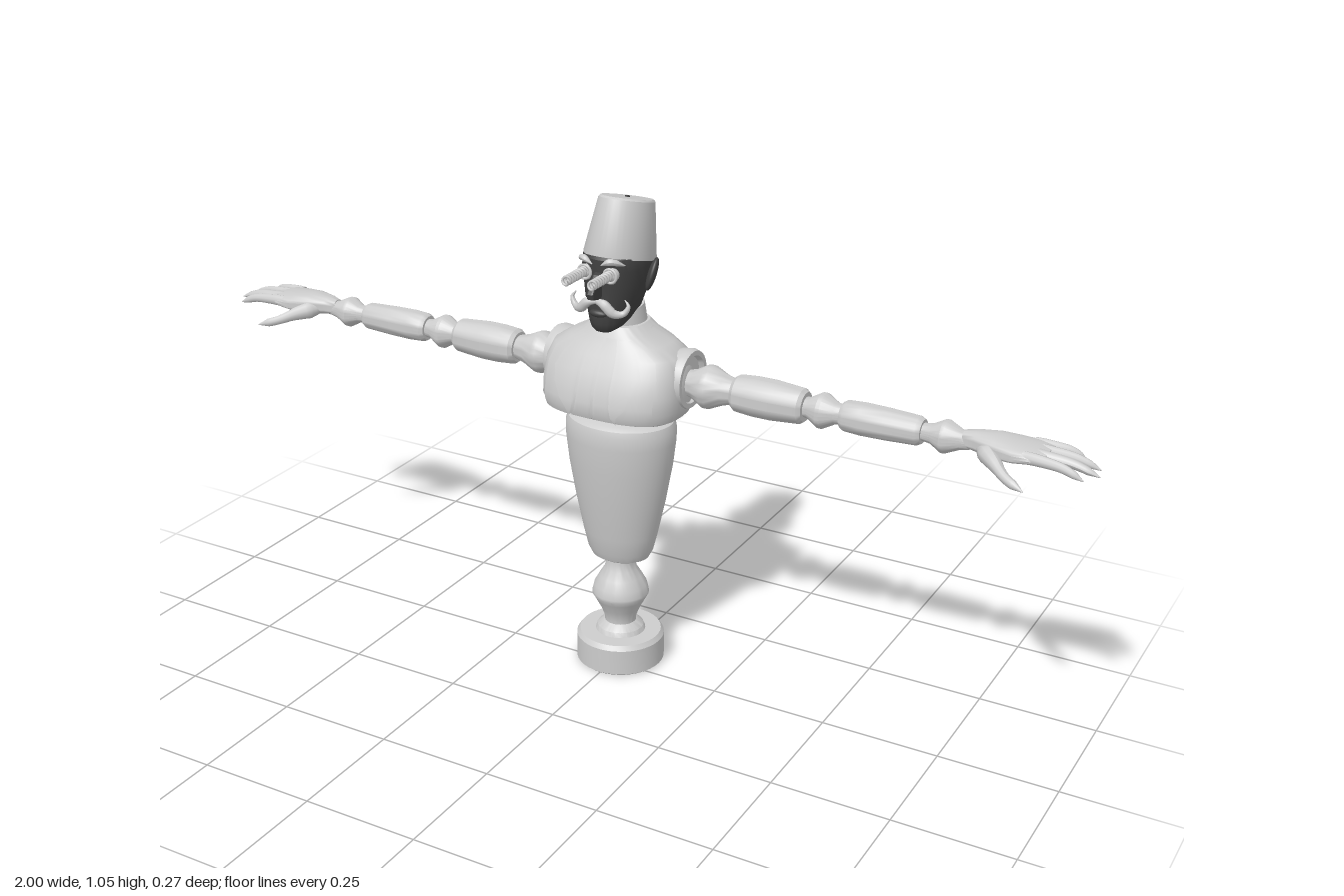
import * as THREE from 'three';
import { toCreasedNormals } from 'three/addons/utils/BufferGeometryUtils.js';

const V = (x, y, z) => new THREE.Vector3(x, y, z);
const P = 2.7; // squareness of the torso cross-section
const AXIS_Z = -0.037;

// Turned shape from [radius, height] pairs
function turned(profile, seg = 40, crease = 0.55) {
  const pts = profile.map(([r, y]) => new THREE.Vector2(r, y));
  return toCreasedNormals(new THREE.LatheGeometry(pts, seg), crease);
}

// Closed body through rows of [y, halfWidth, zFront, zBack]
function loft(rows, power = 2, seg = 40, crease = 0.7) {
  const all = [rows[0], ...rows, rows[rows.length - 1]];
  const geo = new THREE.LatheGeometry(all.map((r) => new THREE.Vector2(1, r[0])), seg);
  const pos = geo.attributes.position;
  const bend = (v) => Math.sign(v) * Math.abs(v) ** (2 / power);
  for (let k = 0; k < pos.count; k++) {
    const j = k % all.length;
    const a = (Math.floor(k / all.length) % seg) / seg * Math.PI * 2;
    const [y, w, f, b] = all[j];
    const s = j === 0 || j === all.length - 1 ? 0 : 1;
    pos.setXYZ(k, s * w * bend(Math.sin(a)), y, (f + b) / 2 + s * (f - b) / 2 * bend(Math.cos(a)));
  }
  return toCreasedNormals(geo, crease);
}

// Tube whose radius follows a list of values along its path
function taperTube(points, radii, seg = 20, sides = 10) {
  const curve = new THREE.CatmullRomCurve3(points);
  const geo = new THREE.TubeGeometry(curve, seg, 1, sides);
  const pos = geo.attributes.position;
  const v = V(0, 0, 0);
  for (let k = 0; k < pos.count; k++) {
    const t = Math.floor(k / (sides + 1)) / seg;
    const u = t * (radii.length - 1);
    const i = Math.min(Math.floor(u), radii.length - 2);
    const r = THREE.MathUtils.lerp(radii[i], radii[i + 1], u - i);
    const c = curve.getPointAt(t);
    v.fromBufferAttribute(pos, k).sub(c).multiplyScalar(r).add(c);
    pos.setXYZ(k, v.x, v.y, v.z);
  }
  geo.computeVertexNormals();
  return geo;
}

const torsoRows = [
  [0.595, 0.135, 0.06, -0.118], [0.605, 0.15, 0.078, -0.125], [0.625, 0.156, 0.085, -0.127],
  [0.66, 0.156, 0.08, -0.126], [0.7, 0.154, 0.063, -0.122], [0.73, 0.142, 0.046, -0.118],
  [0.75, 0.11, 0.034, -0.112], [0.768, 0.075, 0.025, -0.1], [0.785, 0.055, 0.015, -0.092],
];

// Front z of the torso at (x, y)
function torsoFront(x, y) {
  let i = 0;
  while (i < torsoRows.length - 2 && torsoRows[i + 1][0] < y) i++;
  const a = torsoRows[i], b = torsoRows[i + 1];
  const t = (y - a[0]) / (b[0] - a[0]);
  const [w, f, k] = [1, 2, 3].map((n) => THREE.MathUtils.lerp(a[n], b[n], t));
  return (f + k) / 2 + (f - k) / 2 * Math.max(0, 1 - Math.abs(x / w) ** P) ** (1 / P);
}

// Cloth panel lying on the torso front, rows of [y, xInner, xOuter]
function panel(rows, offset, side) {
  const n = 6;
  const geo = new THREE.PlaneGeometry(1, 1, n, rows.length - 1);
  const pos = geo.attributes.position;
  for (let k = 0; k < pos.count; k++) {
    const [y, x0, x1] = rows[Math.floor(k / (n + 1))];
    const u = (k % (n + 1)) / n;
    const x = side > 0 ? THREE.MathUtils.lerp(x0, x1, u) : -THREE.MathUtils.lerp(x1, x0, u);
    pos.setXYZ(k, x, y, torsoFront(x, y) + offset);
  }
  geo.computeVertexNormals();
  return geo;
}

export function createModel() {
  const model = new THREE.Group();
  const pale = new THREE.MeshStandardMaterial({ color: 0xcccccc, side: THREE.DoubleSide });
  pale.name = 'pale grey';
  const dark = new THREE.MeshStandardMaterial({ color: 0x404040 });
  dark.name = 'dark grey';
  const add = (name, geo, mat = pale, parent = model) => {
    const mesh = new THREE.Mesh(geo, mat);
    mesh.name = name;
    parent.add(mesh);
    return mesh;
  };

  // Hollow base and turned pedestal
  add('base', turned([[0, 0.03], [0.055, 0.03], [0.062, 0], [0.09, 0], [0.095, 0.004], [0.095, 0.06],
    [0.088, 0.07], [0.054, 0.07], [0.05, 0.08], [0.034, 0.092], [0, 0.092]])).position.z = AXIS_Z;
  add('pedestal', turned([[0.034, 0.088], [0.034, 0.1], [0.042, 0.122], [0.054, 0.145], [0.061, 0.158],
    [0.061, 0.163], [0.057, 0.18], [0.046, 0.2], [0.035, 0.218], [0.03, 0.235], [0.03, 0.25]])).position.z = AXIS_Z;

  // Oval barrel body and waist
  const barrel = add('barrel', turned([[0, 0.244], [0.05, 0.246], [0.064, 0.253], [0.073, 0.27], [0.083, 0.31],
    [0.1, 0.39], [0.114, 0.47], [0.121, 0.53], [0.121, 0.558], [0.116, 0.572], [0.104, 0.579], [0, 0.58]], 48));
  barrel.scale.z = 0.8;
  barrel.position.z = AXIS_Z;
  add('waist', new THREE.CylinderGeometry(0.027, 0.027, 0.05, 32)).position.set(0, 0.59, AXIS_Z);

  // Torso, collar and neck
  add('torso', loft(torsoRows, P, 48));
  add('collar', loft([[0.725, 0.095, 0.022, -0.116], [0.733, 0.1, 0.026, -0.12], [0.755, 0.084, 0.022, -0.112],
    [0.776, 0.066, 0.016, -0.103], [0.78, 0.06, 0.01, -0.098]]));
  const neck = add('neck', new THREE.CylinderGeometry(0.047, 0.055, 0.085, 32));
  neck.position.set(0, 0.778, -0.043);
  neck.rotation.x = 0.12;

  // Waistcoat front, jacket fronts and lapels
  const ys = [0.765, 0.75, 0.73, 0.7, 0.67, 0.64, 0.62, 0.605];
  const inner = [0.03, 0.034, 0.038, 0.04, 0.04, 0.042, 0.046, 0.055];
  const lapel = [0.05, 0.068, 0.085, 0.1, 0.092, 0.075, 0.058, 0.056];
  for (const side of [1, -1]) {
    add('waistcoat', panel(ys.map((y, i) => [y, 0.003, inner[i] - 0.004]), 0.003, side));
    add('jacketFront', panel(ys.map((y, i) => [y, inner[i], Math.min(0.125, 0.055 + i * 0.03)]), 0.004, side));
    add('lapel', panel(ys.map((y, i) => [y, inner[i], lapel[i]]), 0.009, side));
  }

  // Head
  add('head', loft([[0.783, 0.018, 0.048, 0.02], [0.79, 0.03, 0.054, -0.02], [0.802, 0.038, 0.058, -0.055],
    [0.82, 0.046, 0.058, -0.08], [0.85, 0.055, 0.057, -0.09], [0.88, 0.061, 0.056, -0.099],
    [0.91, 0.064, 0.057, -0.106], [0.935, 0.064, 0.056, -0.11], [0.96, 0.05, 0.03, -0.1]], 2.2), dark);
  const noseShape = new THREE.Shape([[0.05, 0.91], [0.064, 0.905], [0.088, 0.873], [0.086, 0.865], [0.068, 0.86],
    [0.05, 0.862]].map(([x, y]) => new THREE.Vector2(x, y)));
  const nose = new THREE.ExtrudeGeometry(noseShape, { depth: 0.008, bevelSize: 0.003, bevelThickness: 0.004, bevelSegments: 2 });
  nose.translate(0, 0, -0.004).rotateY(-Math.PI / 2);
  add('nose', nose, dark);
  add('lips', new THREE.SphereGeometry(1, 16, 10).scale(0.02, 0.008, 0.01).translate(0, 0.825, 0.056), dark);

  for (const s of [1, -1]) {
    // Ears
    const ear = add('ear', new THREE.SphereGeometry(1, 18, 14), dark);
    ear.scale.set(0.009, 0.035, 0.02);
    ear.position.set(s * 0.071, 0.892, -0.036);
    ear.rotation.set(-0.2, s * 0.45, -s * 0.2);
    // Eyes with coil springs
    add('eye', new THREE.SphereGeometry(0.014, 18, 12).translate(s * 0.029, 0.908, 0.05));
    add('eyeRing', new THREE.TorusGeometry(0.014, 0.003, 8, 24).translate(s * 0.029, 0.908, 0.06));
    const coil = [];
    for (let i = 0; i <= 96; i++) {
      const a = i / 96 * Math.PI * 16;
      coil.push(V(s * 0.029 + Math.cos(a) * 0.008, 0.91 + Math.sin(a) * 0.008, 0.06 + i / 96 * 0.075));
    }
    add('eyeSpring', new THREE.TubeGeometry(new THREE.CatmullRomCurve3(coil), 192, 0.0028, 6));
    // Brows and curled moustache
    add('brow', taperTube([V(s * 0.01, 0.928, 0.063), V(s * 0.03, 0.937, 0.06), V(s * 0.052, 0.928, 0.04)],
      [0.001, 0.007, 0.006, 0.001]));
    add('moustache', taperTube([V(0, 0.853, 0.064), V(s * 0.018, 0.85, 0.067), V(s * 0.038, 0.832, 0.062),
      V(s * 0.055, 0.832, 0.052), V(s * 0.064, 0.848, 0.048), V(s * 0.056, 0.86, 0.048)],
    [0.005, 0.01, 0.01, 0.007, 0.005, 0.001], 28));
  }

  // Tilted oval fez
  const fez = new THREE.Group();
  fez.name = 'fez';
  fez.position.set(0, 0.92, -0.031);
  fez.rotation.x = -0.25;
  model.add(fez);
  const crown = add('fezCrown', turned([[0, 0], [0.087, 0], [0.088, 0.004], [0.068, 0.114], [0.064, 0.118], [0, 0.118]]), pale, fez);
  crown.scale.x = 0.79;
  add('fezButton', new THREE.CylinderGeometry(0.005, 0.005, 0.004, 12).translate(0, 0.119, 0), dark, fez);

  // Arms: turned along x, the right one mirrored
  for (const s of [1, -1]) {
    const arm = new THREE.Group();
    arm.name = s > 0 ? 'leftArm' : 'rightArm';
    arm.scale.x = s;
    model.add(arm);
    const along = (name, profile, y = 0.67, z = -0.05) =>
      add(name, turned(profile, 28).rotateZ(-Math.PI / 2).translate(0, y, z), pale, arm);
    along('shoulderSocket', [[0.06, 0.125], [0.063, 0.15], [0.06, 0.16], [0.05, 0.16], [0.046, 0.15], [0, 0.15]], 0.678);
    along('shoulderJoint', [[0.026, 0.145], [0.03, 0.165], [0.045, 0.192], [0.045, 0.203], [0.032, 0.232], [0.024, 0.262]]);
    along('upperArm', [[0, 0.255], [0.032, 0.255], [0.038, 0.263], [0.041, 0.3], [0.041, 0.34], [0.036, 0.402], [0.03, 0.41], [0, 0.41]]);
    along('elbowJoint', [[0.02, 0.405], [0.022, 0.418], [0.036, 0.442], [0.036, 0.45], [0.022, 0.475], [0.019, 0.495]]);
    along('forearm', [[0, 0.488], [0.026, 0.488], [0.031, 0.496], [0.033, 0.53], [0.032, 0.58], [0.029, 0.645], [0.024, 0.654], [0, 0.654]]);
    along('wristJoint', [[0.017, 0.65], [0.02, 0.672], [0.033, 0.695], [0.033, 0.702], [0.02, 0.73], [0.016, 0.75]]);

    // Hand with splayed fingers
    const palm = loft([[0.735, 0.016, -0.034, -0.066], [0.76, 0.02, -0.026, -0.078], [0.8, 0.023, -0.008, -0.092],
      [0.84, 0.019, 0.002, -0.1], [0.875, 0.015, -0.002, -0.102], [0.9, 0.009, -0.01, -0.095]], 2.2, 24, 1.2);
    palm.rotateZ(-Math.PI / 2).translate(0, 0.675, 0);
    add('palm', palm, pale, arm);
    const tips = [[0.978, -0.008], [1, -0.04], [0.993, -0.072], [0.958, -0.102]];
    tips.forEach(([x, z], i) => {
      const z0 = -0.016 - i * 0.024;
      add('finger', taperTube([V(0.86, 0.677, z0), V(0.9, 0.676, z0 + (z - z0) * 0.3),
        V((0.9 + x) / 2, 0.672, z0 + (z - z0) * 0.65), V(x, 0.657, z)],
      [0.012, 0.012, 0.011, 0.01, 0.009, 0.0075, 0.001], 18), pale, arm);
    });
    add('thumb', taperTube([V(0.775, 0.67, -0.035), V(0.81, 0.662, 0), V(0.845, 0.648, 0.03), V(0.885, 0.637, 0.049)],
      [0.012, 0.019, 0.016, 0.012, 0.01, 0.009, 0.001], 18), pale, arm);
  }
  return model;
}
